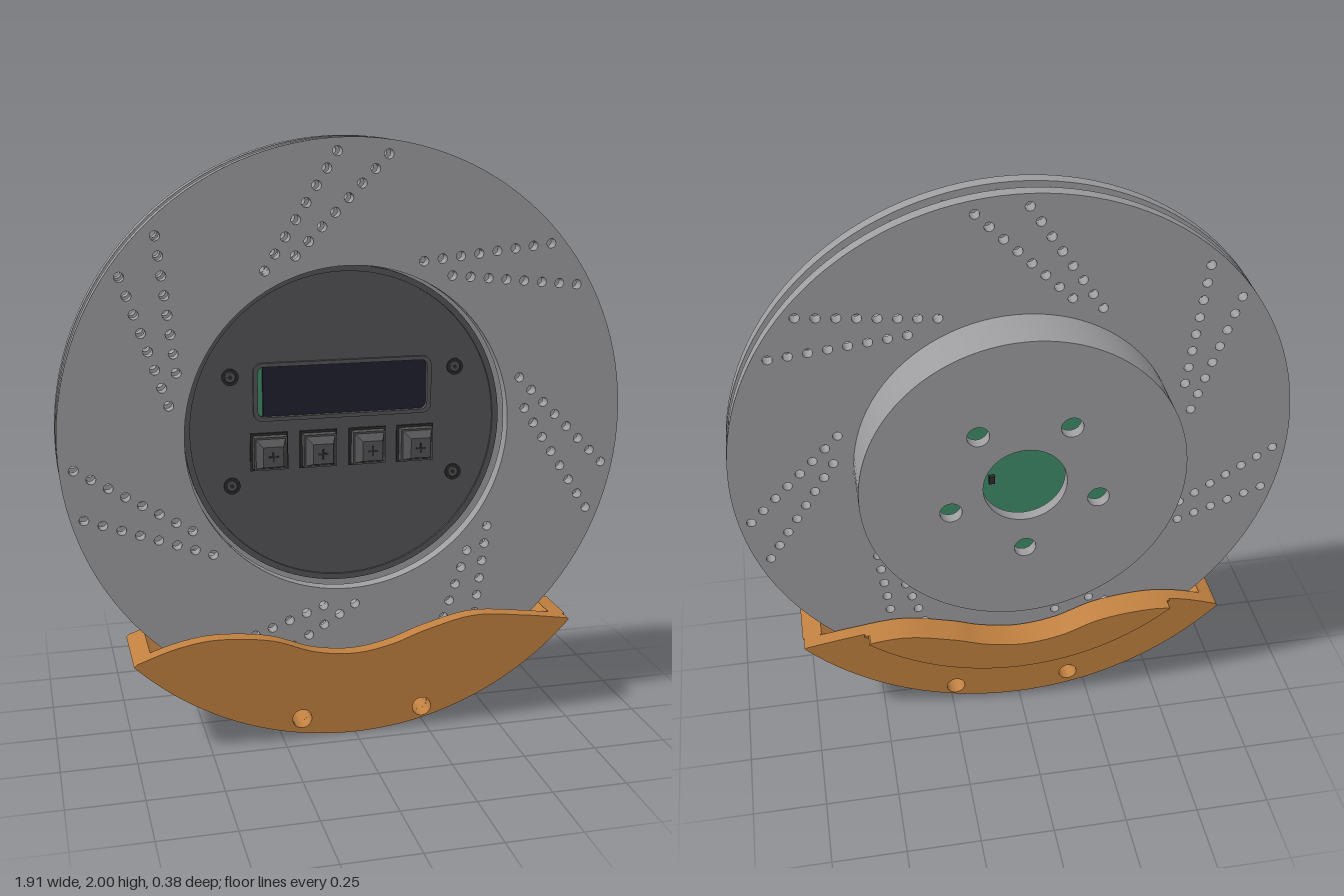
import * as THREE from 'three';
import { toCreasedNormals } from 'three/addons/utils/BufferGeometryUtils.js';

const CY = 1.045; // height of the rotor axis
const mat = (name, color) => {
  const m = new THREE.MeshStandardMaterial({ color });
  m.name = name;
  return m;
};
const V = (x, y) => new THREE.Vector2(x, y);

// points on an arc about the axis (or any centre)
function arc(r, a0, a1, n, cx = 0, cy = 0) {
  return Array.from({ length: n + 1 }, (_, i) => {
    const a = a0 + (a1 - a0) * i / n;
    return V(cx + r * Math.cos(a), cy + r * Math.sin(a));
  });
}
const circle = (r, n, cx = 0, cy = 0) => arc(r, 0, Math.PI * 2, n, cx, cy).slice(0, n);

// flat plate with holes between two z values
function plate(points, holes, z0, z1) {
  const shape = new THREE.Shape(points);
  shape.holes = holes.map(h => new THREE.Path(h));
  const g = new THREE.ExtrudeGeometry(shape, { depth: z1 - z0, bevelEnabled: false });
  g.translate(0, 0, z0);
  return toCreasedNormals(g, 0.55);
}
function roundRect(x0, y0, x1, y1, r) {
  const h = Math.PI / 2;
  return [...arc(r, -2 * h, -h, 4, x0 + r, y0 + r), ...arc(r, -h, 0, 4, x1 - r, y0 + r),
    ...arc(r, 0, h, 4, x1 - r, y1 - r), ...arc(r, h, 2 * h, 4, x0 + r, y1 - r)];
}

export function createModel() {
  const root = new THREE.Group();
  const steel = mat('rotor grey', 0x9d9da0);
  const orange = mat('caliper orange', 0xc08040);
  const dark = mat('cover dark grey', 0x545456);
  const black = mat('black detail', 0x2c2c2e);
  const navy = mat('screen navy', 0x20202e);
  const green = mat('board green', 0x3f8a68);

  // everything below is modelled around the rotor axis
  const body = new THREE.Group();
  body.name = 'body';
  body.position.y = CY;
  root.add(body);
  const add = (name, geo, m, parent = body) => {
    const mesh = new THREE.Mesh(geo, m);
    mesh.name = name;
    parent.add(mesh);
    return mesh;
  };
  const box = (name, w, h, d, x, y, z, m, parent) => {
    const b = add(name, new THREE.BoxGeometry(w, h, d), m, parent);
    b.position.set(x, y, z);
    return b;
  };

  // rotor: two drilled rings, seven groups of two slanted rows of eight holes
  const O = V(0, 0);
  const rows = [[V(-0.042, 0.912), V(-0.28, 0.54)], [V(0.127, 0.9), V(-0.18, 0.585)]];
  const drilled = [];
  for (let k = 0; k < 7; k++)
    for (const [a, b] of rows)
      for (let i = 0; i < 8; i++) {
        const p = a.clone().lerp(b, i / 7).rotateAround(O, k * Math.PI * 2 / 7);
        drilled.push(circle(0.016, 12, p.x, p.y));
      }
  add('frontRing', plate(circle(0.955, 128), [circle(0.55, 96), ...drilled], 0.068, 0.112), steel);
  add('backRing', plate(circle(0.955, 128), [circle(0.505, 96), ...drilled], -0.022, 0.022), steel);

  // slanted cooling vanes between the rings
  const vanes = new THREE.Group();
  vanes.name = 'vanes';
  body.add(vanes);
  const [a, b] = rows[0];
  const outer = a.clone().lerp(b, -0.05), inner = a.clone().lerp(b, 1.13);
  for (let i = 0; i < 35; i++) {
    const t = (i + 0.5) * Math.PI * 2 / 35;
    const p = outer.clone().rotateAround(O, t), q = inner.clone().rotateAround(O, t);
    box('vane', p.distanceTo(q), 0.018, 0.048, (p.x + q.x) / 2, (p.y + q.y) / 2, 0.045, steel, vanes)
      .rotation.z = Math.atan2(q.y - p.y, q.x - p.x);
  }

  // hat: open drum with a bored and drilled back
  const studs = Array.from({ length: 5 }, (_, i) => {
    const t = -Math.PI / 2 + i * Math.PI * 2 / 5;
    return circle(0.037, 24, 0.26 * Math.cos(t), 0.26 * Math.sin(t));
  });
  add('hatWall', plate(circle(0.545, 96), [circle(0.505, 96)], -0.15, -0.02), steel);
  add('hatBack', plate(circle(0.545, 96), [circle(0.14, 48), ...studs], -0.19, -0.15), steel);

  // cover with a display window and a raised rim
  const window_ = roundRect(-0.295, 0.045, 0.285, 0.215, 0.02);
  add('cover', plate(circle(0.542, 96), [window_], 0.022, 0.03), dark);
  add('coverRim', plate(circle(0.542, 96), [circle(0.522, 96)], 0.03, 0.038), dark);
  add('windowFrame', plate(roundRect(-0.31, 0.032, 0.3, 0.228, 0.03), [window_], 0.03, 0.042), dark);
  box('displayBoard', 0.62, 0.2, 0.01, -0.005, 0.13, 0.008, green);
  box('screen', 0.57, 0.19, 0.012, 0.01, 0.13, 0.019, navy);

  // circuit board inside the hat
  const board = add('circuitBoard', new THREE.CylinderGeometry(0.46, 0.46, 0.015, 64), green);
  board.rotation.x = Math.PI / 2;
  board.position.z = -0.045;
  for (const [x, y, w, h] of [[-0.08, 0.09, 0.07, 0.05], [0.05, 0.1, 0.03, 0.02], [0.09, -0.06, 0.02, 0.03]])
    box('chip', w, h, 0.015, x, y, -0.058, black);

  // cover screws
  for (const x of [-0.385, 0.385])
    for (const y of [-0.185, 0.185]) {
      add('screwSeat', plate(circle(0.028, 24, x, y), [circle(0.019, 24, x, y)], 0.03, 0.036), black);
      const head = add('screwHead', new THREE.CylinderGeometry(0.016, 0.019, 0.006, 24), dark);
      head.rotation.x = Math.PI / 2;
      head.position.set(x, y, 0.033);
      add('screwSocket', plate(circle(0.008, 6, x, y), [], 0.036, 0.037), black);
    }

  // push buttons: square base, tapered cap, plus mark
  for (const x of [-0.258, -0.09, 0.079, 0.246]) {
    const button = new THREE.Group();
    button.name = 'button';
    button.position.set(x, -0.073, 0.03);
    body.add(button);
    box('buttonGap', 0.128, 0.128, 0.006, 0, 0, 0.003, black, button);
    box('buttonBase', 0.112, 0.112, 0.035, 0, 0, 0.0175, dark, button);
    const cap = new THREE.CylinderGeometry(0.034 * Math.SQRT2, 0.05 * Math.SQRT2, 0.045, 4, 1);
    cap.rotateY(Math.PI / 4).rotateX(Math.PI / 2);
    add('buttonCap', toCreasedNormals(cap, 0.3), dark, button).position.z = 0.0575;
    box('markAcross', 0.034, 0.006, 0.002, 0, 0, 0.081, black, button);
    box('markUp', 0.006, 0.034, 0.002, 0, 0, 0.081, black, button);
  }

  // caliper: wavy top edge closed by arcs about the axis
  const wave = new THREE.SplineCurve([[-0.735, 0.322], [-0.6, 0.365], [-0.465, 0.382], [-0.29, 0.362],
    [-0.14, 0.308], [0, 0.29], [0.13, 0.31], [0.25, 0.35], [0.42, 0.387], [0.6, 0.371], [0.775, 0.343]]
    .map(([x, y]) => V(x, y - CY))).getPoints(120);
  const angle = p => Math.atan2(p.y, p.x);
  const under = r => {
    const top = wave.filter(p => p.length() < r);
    return [...top, ...arc(r, angle(top[top.length - 1]), angle(top[0]), 64)];
  };
  const R = 1.045, pocketR = 0.985, pinR = 0.033;
  const pins = [V(-0.185, 0.068 - CY), V(0.237, 0.068 - CY)];
  const pinHoles = pins.map(p => circle(pinR, 32, p.x, p.y));
  const caliper = new THREE.Group();
  caliper.name = 'caliper';
  body.add(caliper);
  add('caliperFront', plate(under(R), pinHoles, 0.14, 0.19), orange, caliper);
  add('caliperBack', plate(under(R), pinHoles, -0.08, -0.03), orange, caliper);

  // floor of the disc slot, notched where the pin holes pass
  const left = wave.filter(p => p.x < 0 && p.length() > pocketR);
  const right = wave.filter(p => p.x > 0 && p.length() > pocketR);
  const floor = arc(pocketR, angle(left[left.length - 1]), angle(right[0]), 240).map(p => {
    let r = pocketR;
    for (const c of pins) {
      const d = c.length(), t = angle(p) - angle(c), s = pinR ** 2 - (d * Math.sin(t)) ** 2;
      if (s > 0) r = Math.max(r, d * Math.cos(t) + Math.sqrt(s));
    }
    return p.setLength(r);
  });
  const rim = arc(R, angle(right[right.length - 1]), angle(left[0]), 64);
  add('caliperBridge', plate([...left, ...floor, ...right, ...rim], [], -0.03, 0.14), orange, caliper);

  // raised lip on the back with a stepped fillet
  add('caliperLip', plate(under(0.865), [], -0.135, -0.08), orange, caliper);
  add('lipFillet', plate(under(0.873), [], -0.092, -0.08), orange, caliper);
  return root;
}
